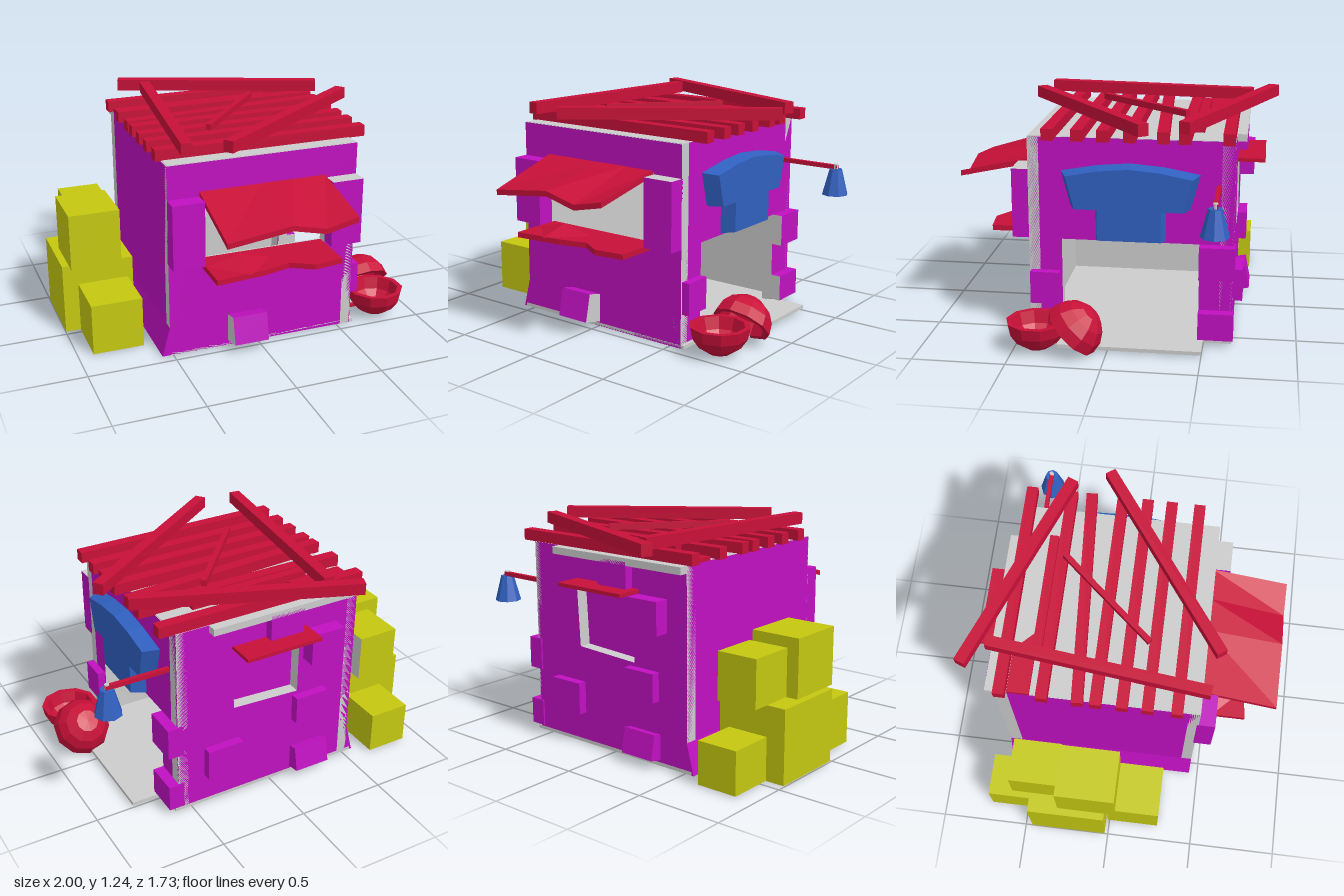
import * as THREE from 'three';

const mat = (color, side = THREE.FrontSide) =>
  new THREE.MeshStandardMaterial({ color, flatShading: true, side });
const GREY = mat(0xcccccc);
const MAGENTA = mat(0xc010c0);
const RED = mat(0xc81038);
const BLUE = mat(0x3060c0);
const YELLOW = mat(0xc4c810);
const RED2 = mat(0xc81038, THREE.DoubleSide);
const BLUE2 = mat(0x3060c0, THREE.DoubleSide);

export function createModel() {
  const model = new THREE.Group();

  function add(name, geometry, material, x = 0, y = 0, z = 0, parent = model) {
    const m = new THREE.Mesh(geometry, material);
    m.name = name;
    m.position.set(x, y, z);
    parent.add(m);
    return m;
  }

  // Box from its limits on each axis
  const box = (name, material, [x0, x1], [y0, y1], [z0, z1]) =>
    add(name, new THREE.BoxGeometry(x1 - x0, y1 - y0, z1 - z0), material,
      (x0 + x1) / 2, (y0 + y1) / 2, (z0 + z1) / 2);

  const polygon = (pts) => new THREE.Shape(pts.map(([x, y]) => new THREE.Vector2(x, y)));
  const rect = (x0, x1, y0, y1) => polygon([[x0, y0], [x1, y0], [x1, y1], [x0, y1]]);

  // Wall drawn in its own plane: coloured face, grey reveals, grey inner lining
  function wall(name, shape, angle, x, z, t) {
    const g = new THREE.Group();
    g.name = name;
    g.rotation.y = angle;
    g.position.set(x, 0, z);
    const face = new THREE.ExtrudeGeometry(shape, { depth: t, bevelEnabled: false });
    add(name + 'Face', face, [MAGENTA, GREY], 0, 0, -t, g);
    const lining = add(name + 'Lining', new THREE.ShapeGeometry(shape), GREY, 0, 0, -t - 0.004, g);
    lining.material = new THREE.MeshStandardMaterial({ color: 0xcccccc, side: THREE.BackSide });
    model.add(g);
    return g;
  }

  // Front wall with the serving window
  const front = rect(-0.52, 0.58, 0.01, 1.12);
  front.holes.push(rect(-0.34, 0.4, 0.55, 0.95));
  wall('frontWall', front, 0, 0, 0.45, 0.06);

  // Right wall with a wide doorway, drawn with u = -z
  wall('doorWall', polygon([[-0.45, 0.01], [-0.27, 0.01], [-0.27, 0.56], [0.47, 0.56],
    [0.47, 0.01], [0.65, 0.01], [0.65, 1.12], [-0.45, 1.12]]), Math.PI / 2, 0.58, 0, 0.06);

  // Back wall with a blind window, drawn with u = -x
  const back = rect(-0.58, 0.52, 0.01, 1.12);
  back.holes.push(polygon([[-0.24, 0.57], [0.16, 0.55], [0.16, 0.95], [-0.26, 0.95]]));
  wall('backWall', back, Math.PI, 0, -0.65, 0.07);
  box('blindWindowPanel', [GREY, GREY, GREY, GREY, GREY, MAGENTA], [-0.18, 0.28], [0.53, 0.97], [-0.58, -0.565]);

  // Plain left wall with a flared foot
  wall('sideWall', rect(-0.65, 0.45, 0.01, 1.12), -Math.PI / 2, -0.52, 0, 0.06);
  add('wallFoot', new THREE.ExtrudeGeometry(polygon([[-0.565, 0.01], [-0.515, 0.01], [-0.515, 0.2]]),
    { depth: 1.1, bevelEnabled: false }), MAGENTA, 0, 0, -0.65);

  // Floor, doorstep and roof slab
  box('floor', GREY, [-0.55, 0.6], [0.01, 0.03], [-0.65, 0.45]);
  box('doorstep', GREY, [0.56, 0.785], [0.015, 0.035], [-0.5, 0.27]);
  box('doormat', RED, [0.58, 0.72], [0.012, 0.03], [0, 0.29]);
  box('roofSlab', GREY, [-0.515, 0.575], [1.09, 1.122], [-0.645, 0.445]);
  box('roofLip', GREY, [-0.52, 0.39], [1.08, 1.12], [-0.7, -0.645]);

  // Raised blocks beside the serving window and around the walls
  const GREY_TOP = [MAGENTA, MAGENTA, GREY, MAGENTA, MAGENTA, MAGENTA];
  box('windowPier', GREY_TOP, [0.4, 0.58], [0.56, 0.94], [0.44, 0.54]);
  box('windowPier', MAGENTA, [-0.52, -0.34], [0.56, 0.93], [0.44, 0.54]);
  const GREY_FRONT = [MAGENTA, MAGENTA, MAGENTA, MAGENTA, GREY, MAGENTA];
  [
    [GREY_FRONT, [0.55, 0.64], [0.38, 0.56], [-0.66, -0.47]],
    [GREY_FRONT, [0.55, 0.64], [0.04, 0.19], [-0.66, -0.47]],
    [MAGENTA, [0.55, 0.625], [0.2, 0.38], [0.28, 0.44]],
    [MAGENTA, [0.21, 0.42], [0.19, 0.37], [-0.7, -0.64]],
    [MAGENTA, [-0.33, -0.13], [0.37, 0.53], [-0.7, -0.64]],
    [MAGENTA, [-0.39, -0.19], [0.75, 0.93], [-0.735, -0.64]],
    [MAGENTA, [-0.15, 0.05], [0.92, 1.1], [-0.7, -0.64]],
  ].forEach(([m, x, y, z]) => box('wallBlock', m, x, y, z));
  const frontBlock = box('frontBlock', [GREY, GREY, MAGENTA, GREY, MAGENTA, GREY],
    [-0.18, 0.02], [0.05, 0.21], [0.43, 0.555]);
  frontBlock.rotation.x = -0.22;
  const backBlock = box('backBlock', MAGENTA, [-0.34, -0.13], [0.05, 0.19], [-0.715, -0.63]);
  backBlock.rotation.x = 0.2;

  // Awning: a thin board whose outer edge folds up and down
  const xs = [-0.34, 0.02, 0.21, 0.39], drop = [0.8, 0.845, 0.8, 0.84];
  const awning = new THREE.BoxGeometry(3, 0.03, 1, 3, 1, 1);
  const p = awning.attributes.position;
  for (let i = 0; i < p.count; i++) {
    const k = Math.round(p.getX(i) + 1.5), outer = p.getZ(i) > 0;
    p.setXYZ(i, xs[k], p.getY(i) + 0.015 + (outer ? drop[k] : 0.93), outer ? 0.87 : 0.44);
  }
  add('awning', awning, RED);

  // Counter with a jagged outer edge and a low ridge at the wall
  const counter = new THREE.ExtrudeGeometry(polygon([[-0.34, -0.42], [0.39, -0.42], [0.39, -0.7],
    [0.22, -0.72], [0.1, -0.65], [-0.06, -0.69], [-0.34, -0.72]]), { depth: 0.03, bevelEnabled: false });
  counter.rotateX(-Math.PI / 2).scale(1, 1, 1);
  add('counter', counter, RED, 0, 0.53, 0);
  const ridge = new THREE.BufferGeometry();
  ridge.setAttribute('position', new THREE.Float32BufferAttribute(
    [-0.33, 0.56, 0.54, -0.15, 0.56, 0.72, -0.15, 0.605, 0.54,
      -0.15, 0.605, 0.54, -0.15, 0.56, 0.72, 0.03, 0.56, 0.54], 3));
  ridge.computeVertexNormals();
  add('counterRidge', ridge, RED2);

  box('backAwning', RED, [-0.2, 0.25], [0.935, 0.955], [-0.8, -0.64]);

  // Roof beams, each from one end (x, z) to the other
  function beam(name, x0, z0, x1, z1, y, w, h) {
    const b = add(name, new THREE.BoxGeometry(Math.hypot(x1 - x0, z1 - z0), h, w), RED,
      (x0 + x1) / 2, y, (z0 + z1) / 2);
    b.rotation.y = -Math.atan2(z1 - z0, x1 - x0);
  }
  [[0.325, 0.325], [0.17, 0.17], [0.035, 0.035], [-0.105, -0.105], [-0.2, -0.28],
    [-0.39, -0.39], [-0.615, -0.615]]
    .forEach(([a, b]) => beam('roofBeam', -0.55, a, 0.67, b, 1.15, 0.062, 0.062));
  beam('shortBeam', -0.3, -0.45, 0.39, -0.45, 1.148, 0.05, 0.056);
  beam('looseBeam', -0.42, -0.835, 0.71, -0.39, 1.215, 0.062, 0.065);
  beam('looseBeam', -0.285, -0.715, -0.42, 0.49, 1.215, 0.06, 0.065);
  beam('looseBeam', 0.785, -0.19, -0.205, 0.525, 1.215, 0.06, 0.065);
  beam('thinBeam', 0.27, -0.375, -0.175, 0.14, 1.2, 0.03, 0.035);
  const patch = new THREE.ExtrudeGeometry(polygon([[-0.52, 0.46], [-0.16, 0.46], [-0.28, 0.58],
    [-0.52, 0.58]]), { depth: 0.02, bevelEnabled: false }).rotateX(-Math.PI / 2);
  add('roofPatch', patch, RED, 0, 1.12, 0);

  // Door sign: a T shape under an arched top, its outer face drawn in a little
  const sign = new THREE.ExtrudeGeometry(polygon([[-0.085, 0.57], [0.29, 0.57], [0.29, 0.75],
    [0.42, 0.75], [0.47, 0.94], [0.28, 0.975], [0.1, 0.99], [-0.08, 0.975], [-0.27, 0.94],
    [-0.22, 0.75], [-0.085, 0.75]]), { depth: 0.085, bevelEnabled: false });
  const s = sign.attributes.position;
  for (let i = 0; i < s.count; i++) {
    if (s.getZ(i) > 0.04) s.setXY(i, 0.1 + (s.getX(i) - 0.1) * 0.9, 0.8 + (s.getY(i) - 0.8) * 0.93);
  }
  add('doorSign', sign, BLUE, 0.58).rotation.y = Math.PI / 2;

  // Hanging lantern on a rod
  box('lanternRod', RED, [0.56, 0.935], [0.863, 0.887], [-0.578, -0.554]);
  add('lanternShade', new THREE.CylinderGeometry(0.037, 0.075, 0.145, 8, 1, true), BLUE2, 0.925, 0.79, -0.565);
  add('lanternTop', new THREE.CylinderGeometry(0.037, 0.037, 0.01, 8), BLUE, 0.925, 0.86, -0.565);
  add('lanternKnob', new THREE.CylinderGeometry(0.013, 0.013, 0.03, 8), GREY, 0.925, 0.878, -0.565);

  // Two thick faceted bowls, one upright and one tipped over
  const profile = [];
  for (let i = 0; i <= 4; i++) {
    const a = (i / 4) * Math.PI / 2;
    profile.push(new THREE.Vector2(0.165 * Math.sin(a), -0.165 * Math.cos(a)));
  }
  for (let i = 3; i >= 0; i--) {
    const a = (i / 3) * Math.PI / 2;
    profile.push(new THREE.Vector2(0.135 * Math.sin(a), -0.135 * Math.cos(a)));
  }
  const bowl = new THREE.LatheGeometry(profile, 10);
  add('bowl', bowl, RED2, 0.78, 0.17, 0.375);
  add('tippedBowl', bowl, RED2, 0.79, 0.12, 0.185).rotation.x = Math.PI * 0.75;

  // Stacked crates, some with a bare inner side
  const BARE = [GREY, YELLOW, YELLOW, YELLOW, YELLOW, YELLOW];
  box('largeCrate', BARE, [-1, -0.59], [0.01, 0.42], [-0.46, -0.02]);
  box('topCrate', YELLOW, [-0.96, -0.67], [0.42, 0.745], [-0.29, 0.04]);
  box('frontCrate', YELLOW, [-0.915, -0.625], [0.01, 0.305], [-0.01, 0.29]);
  box('upperBackCrate', BARE, [-0.89, -0.65], [0.42, 0.685], [-0.56, -0.29]);
  box('lowerBackCrate', YELLOW, [-0.89, -0.65], [0.01, 0.25], [-0.72, -0.45]);

  return model;
}
